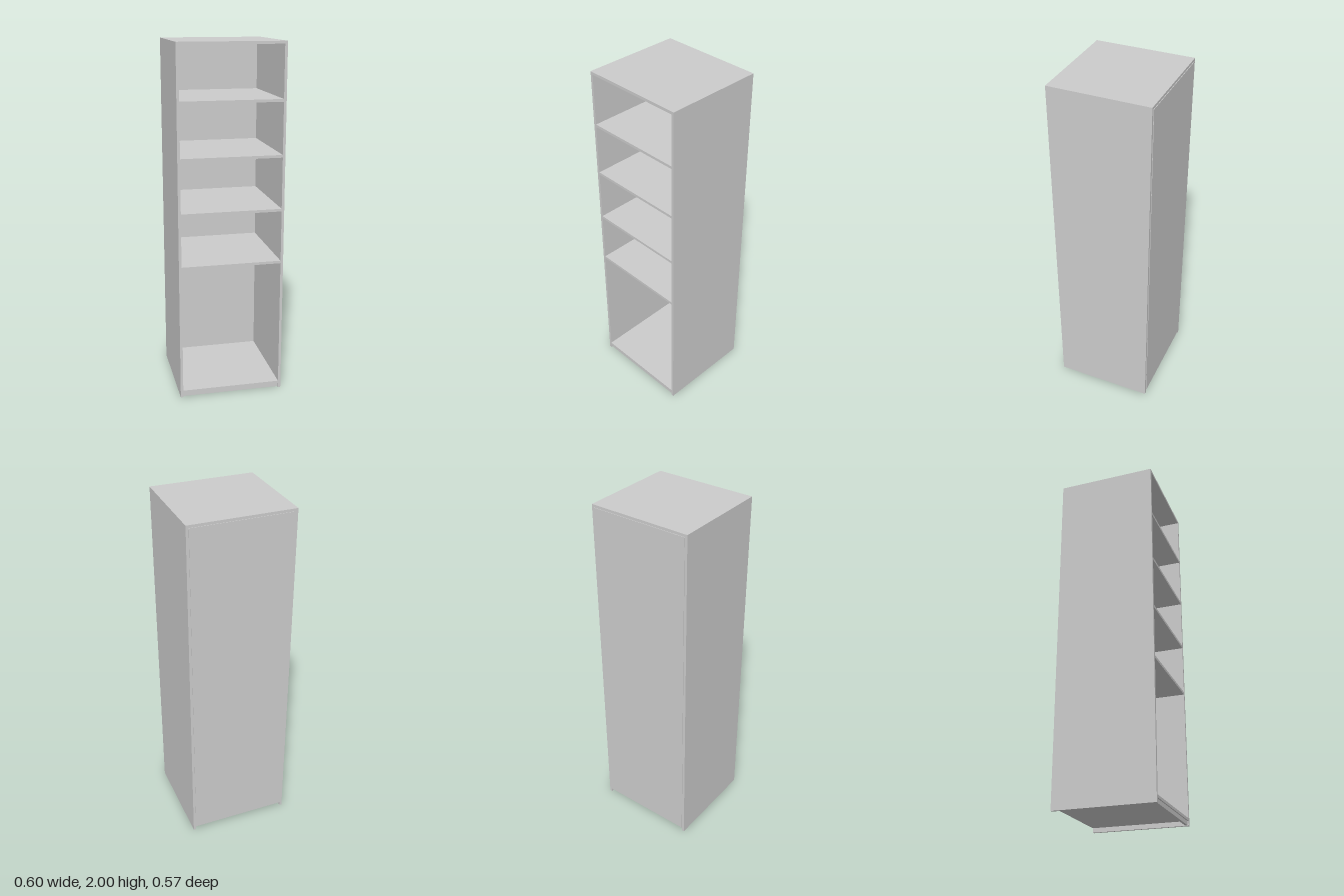
import * as THREE from 'three';

const FRONT = 0.284, BACK = -0.282; // carcass depth
const HALF = 0.298, T = 0.015;      // half width, board thickness
const INNER = HALF - T;

export function createModel() {
  const group = new THREE.Group();
  const material = new THREE.MeshStandardMaterial({ color: 0xcccccc });

  // Board given by its minimum and maximum corners
  const board = (name, [x0, y0, z0], [x1, y1, z1]) => {
    const mesh = new THREE.Mesh(new THREE.BoxGeometry(x1 - x0, y1 - y0, z1 - z0), material);
    mesh.position.set((x0 + x1) / 2, (y0 + y1) / 2, (z0 + z1) / 2);
    mesh.name = name;
    group.add(mesh);
  };

  // Cylinder lying along x, centred at (x, 0.691, 0)
  const rod = (name, x, length, radius) => {
    const geometry = new THREE.CylinderGeometry(radius, radius, length, 32).rotateZ(Math.PI / 2);
    const mesh = new THREE.Mesh(geometry, material);
    mesh.position.set(x, 0.691, 0);
    mesh.name = name;
    group.add(mesh);
  };

  // Carcass: sides, top, bottom, front plinth and thin back panel
  board('leftSide', [INNER, 0, BACK], [HALF, 2 - T, FRONT]);
  board('rightSide', [-HALF, 0, BACK], [-INNER, 2 - T, FRONT]);
  board('top', [-HALF, 2 - T, BACK], [HALF, 2, FRONT]);
  board('bottom', [-INNER, 0.026, BACK], [INNER, 0.041, FRONT]);
  board('plinth', [-INNER, 0.003, FRONT - 0.022], [INNER, 0.026, FRONT - 0.007]);
  board('backPanel', [-INNER, 0.026, BACK - 0.003], [INNER, 2 - T, BACK]);

  // Four evenly spaced shelves
  for (let i = 0; i < 4; i++) {
    const y = 0.788 + i * 0.303;
    board('shelf' + (i + 1), [-INNER, y - T, BACK], [INNER, y, FRONT]);
  }

  // Hanging rail with a socket and wall flange at each end
  rod('hangingRail', 0, 0.54, 0.011);
  for (const side of [-1, 1]) {
    rod('railSocket', side * (INNER - 0.01), 0.02, 0.013);
    rod('railFlange', side * (INNER - 0.0015), 0.003, 0.02);
  }

  return group;
}
